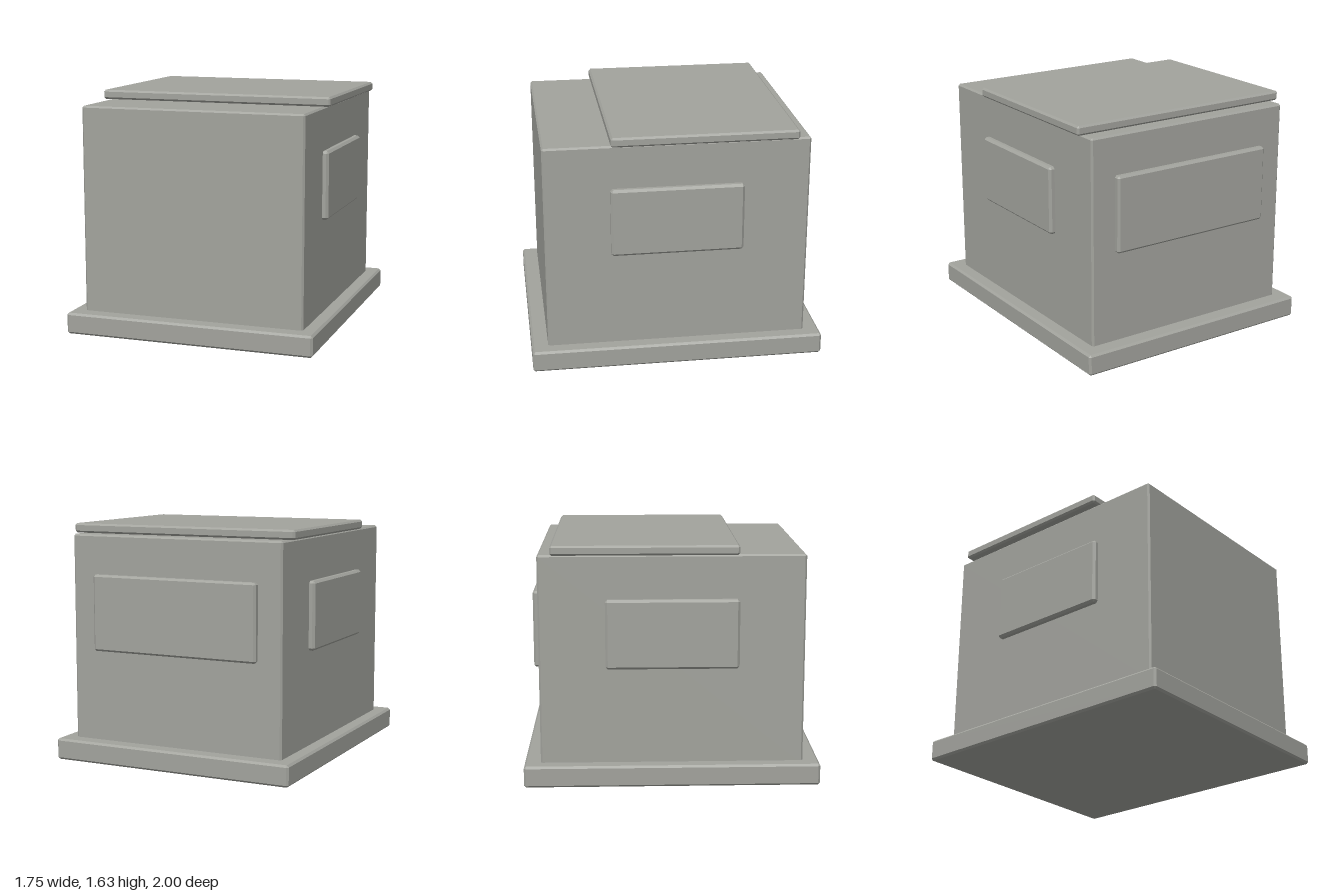
import * as THREE from 'three';
import { ConvexGeometry } from 'three/addons/geometries/ConvexGeometry.js';

// Box between two corners with every edge chamfered by c
function chamferedBox(min, max, c) {
  const size = max.map((v, i) => (v - min[i]) / 2);
  const points = [];
  for (const sx of [-1, 1]) for (const sy of [-1, 1]) for (const sz of [-1, 1]) {
    const s = [sx, sy, sz];
    // each corner is cut into three points, one per face
    for (let face = 0; face < 3; face++) {
      points.push(new THREE.Vector3(...s.map((v, i) => v * (size[i] - (i === face ? 0 : c)))));
    }
  }
  const geometry = new ConvexGeometry(points);
  geometry.translate(...max.map((v, i) => (v + min[i]) / 2));
  return geometry;
}

export function createModel() {
  const model = new THREE.Group();
  model.name = 'cabin';
  const stoneGrey = new THREE.MeshStandardMaterial({ color: 0xa2a39d });
  stoneGrey.name = 'stone grey';

  const add = (name, min, max, chamfer = 0.014) => {
    const mesh = new THREE.Mesh(chamferedBox(min, max, chamfer), stoneGrey);
    mesh.name = name;
    model.add(mesh);
  };

  // Base slab, main block and roof plate set towards the back
  add('base', [-0.875, 0, -1], [0.875, 0.147, 1]);
  add('body', [-0.78, 0.12, -0.89], [0.78, 1.565, 0.89], 0.012);
  add('roofPlate', [-0.825, 1.567, -0.803], [0.825, 1.632, 0.445], 0.013);

  // Raised panels on both sides
  add('leftPanel', [0.74, 0.8, -0.445], [0.82, 1.27, 0.45], 0.016);
  add('rightPanel', [-0.82, 0.8, -0.445], [-0.74, 1.27, 0.45], 0.016);

  // Raised panel on the back
  add('backPanel', [-0.61, 0.772, -0.932], [0.605, 1.296, -0.85], 0.014);

  return model;
}
